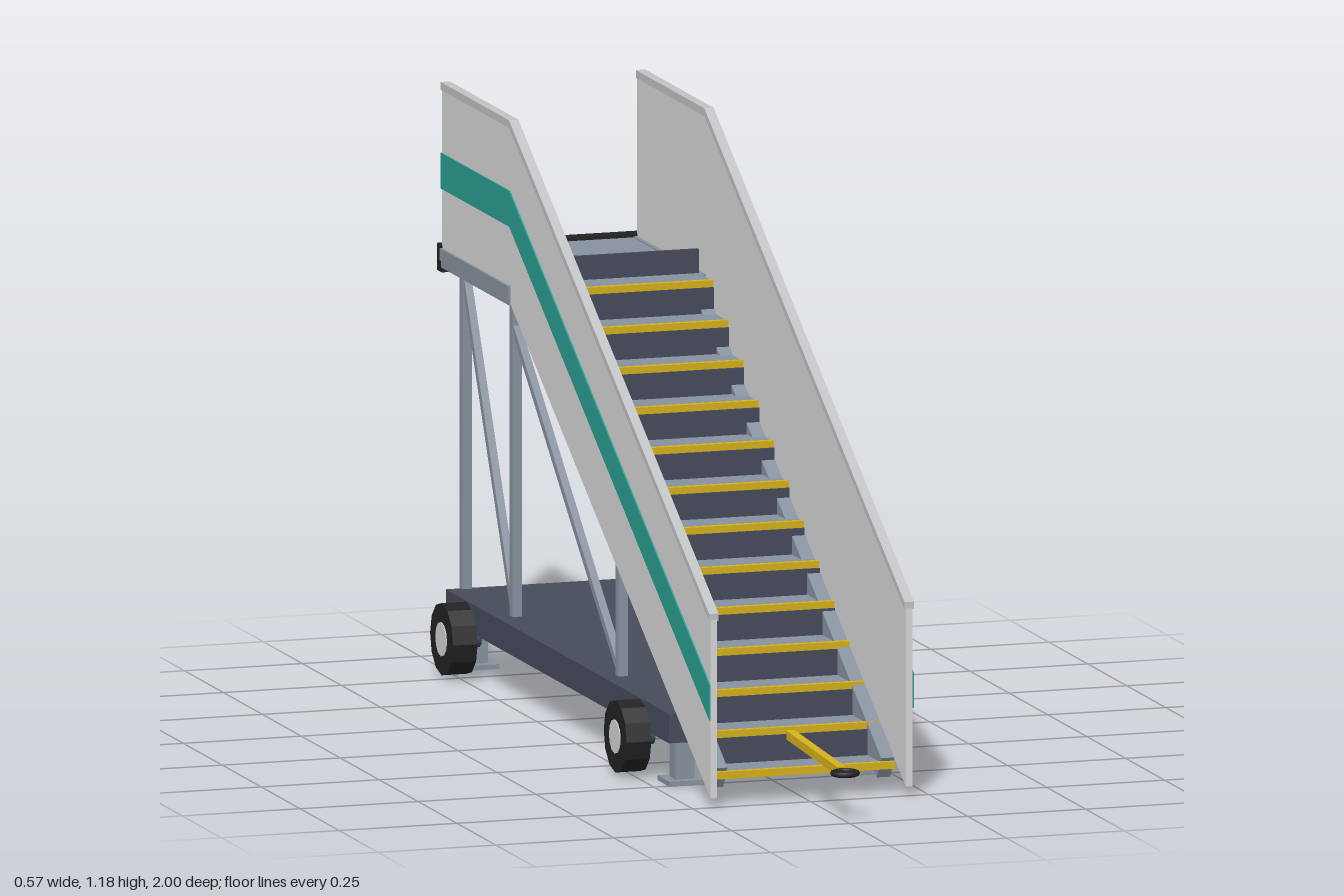
import * as THREE from 'three';

const mat = (name, color) => {
  const m = new THREE.MeshStandardMaterial({ color });
  m.name = name;
  return m;
};

export function createModel() {
  const M = {
    steel: mat('steel grey', 0x87919e),
    dark: mat('dark slate', 0x464b5a),
    panel: mat('panel white', 0xd6d6d6),
    rail: mat('rail grey', 0xbfc1c3),
    teal: mat('teal', 0x2a9d8f),
    yellow: mat('safety yellow', 0xd4b01c),
    rubber: mat('rubber black', 0x222222),
    hub: mat('hub light grey', 0xd2d2d2),
  };
  const model = new THREE.Group();
  model.name = 'boardingStairs';

  const add = (name, geo, material, x = 0, y = 0, z = 0) => {
    const mesh = new THREE.Mesh(geo, material);
    mesh.name = name;
    mesh.position.set(x, y, z);
    model.add(mesh);
    return mesh;
  };
  // Box given by its limits on each axis
  const box = (name, material, [x0, x1], [y0, y1], [z0, z1]) =>
    add(name, new THREE.BoxGeometry(x1 - x0, y1 - y0, z1 - z0), material,
      (x0 + x1) / 2, (y0 + y1) / 2, (z0 + z1) / 2);
  // Square bar between two [z, y] points at a given x
  const bar = (name, material, x, [z0, y0], [z1, y1], w, h) => {
    const len = Math.hypot(z1 - z0, y1 - y0);
    const mesh = add(name, new THREE.BoxGeometry(w, h, len), material, x, (y0 + y1) / 2, (z0 + z1) / 2);
    mesh.rotation.x = Math.atan2(y0 - y1, z1 - z0);
    return mesh;
  };
  // Sheet with a [z, y] outline, from x0 to x1
  const sheet = (name, material, points, x0, x1) => {
    const shape = new THREE.Shape(points.map(([z, y]) => new THREE.Vector2(z, y)));
    const geo = new THREE.ExtrudeGeometry(shape, { depth: x1 - x0, bevelEnabled: false });
    geo.rotateY(-Math.PI / 2).translate(x1, 0, 0);
    return add(name, geo, material);
  };
  // Band that follows the slope and the level top, given lower and upper heights
  const band = (name, material, low, high, x0, x1) => sheet(name, material, [
    [0.755, low[0]], [0.755, high[0]], [-0.53, high[1]], [-0.97, high[1]], [-0.97, low[1]], [-0.53, low[1]],
  ], x0, x1);
  // Sheet limits for either side
  const span = (s, a, b) => (s > 0 ? [a, b] : [-b, -a]);

  // Chassis
  box('chassis', M.dark, [-0.222, 0.222], [0.09, 0.15], [-0.92, 0.512]);

  // Upper platform, bumper and end riser
  box('platform', M.steel, [-0.2, 0.2], [0.805, 0.838], [-0.97, -0.535]);
  box('bumper', M.rubber, [-0.215, 0.215], [0.79, 0.845], [-1, -0.968]);

  // Steps with dark risers and yellow nosings
  const stepCount = 13, rise = 0.0648, going = 0.0972;
  for (let i = 0; i < stepCount; i++) {
    const y = 0.063 + rise * i, z = 0.715 - going * i;
    box('tread', M.steel, [-0.19, 0.19], [y - 0.012, y], [z - going, z - 0.012]);
    box('nosing', M.yellow, [-0.19, 0.19], [y - 0.013, y + 0.002], [z - 0.013, z]);
    const top = i === stepCount - 1 ? 0.89 : y + rise - 0.012;
    box('riser', M.dark, [-0.19, 0.19], [y, top], [z - going - 0.004, z - going + 0.004]);
  }

  for (const s of [-1, 1]) {
    // Side panel, stripe and top rail
    band('sidePanel', M.panel, [0.02, 0.803], [0.385, 1.168], ...span(s, 0.2, 0.214));
    band('stripe', M.teal, [0.18, 0.962], [0.253, 1.035], ...span(s, 0.214, 0.217));
    band('topRail', M.rail, [0.383, 1.164], [0.398, 1.18], ...span(s, 0.197, 0.217));
    box('platformEdge', M.steel, span(s, 0.19, 0.219), [0.815, 0.84], [-0.97, -0.53]);
    box('platformLip', M.steel, span(s, 0.19, 0.216), [0.8, 0.815], [-0.97, -0.53]);

    // Sloping stringer under the steps
    bar('stringer', M.steel, s * 0.177, [0.695, 0.05], [-0.53, 0.805], 0.028, 0.052);

    // Support frame
    const x = s * 0.18;
    for (const [z, top] of [[0.082, 0.42], [-0.6, 0.81], [-0.92, 0.81]])
      box('supportPost', M.steel, [x - 0.01, x + 0.01], [0.14, top], [z - 0.01, z + 0.01]);
    bar('brace', M.steel, x, [0.08, 0.16], [-0.6, 0.745], 0.016, 0.016);
    bar('brace', M.steel, x, [-0.6, 0.16], [-0.92, 0.795], 0.016, 0.016);

    // Wheels
    for (const z of [0.355, -0.76]) {
      const wheel = (name, material, r, w, cx, sides) => {
        const geo = new THREE.CylinderGeometry(r, r, w, sides).rotateZ(Math.PI / 2);
        return add(name, geo.toNonIndexed(), material, s * cx, 0.08, z);
      };
      wheel('tyre', M.rubber, 0.074, 0.052, 0.258, 12).geometry.computeVertexNormals();
      wheel('hub', M.hub, 0.035, 0.056, 0.258, 12);
      wheel('axle', M.dark, 0.02, 0.04, 0.225, 10);
    }

    // Stabiliser jacks
    for (const z of [0.468, -0.858]) {
      box('jackLeg', M.steel, [x - 0.02, x + 0.02], [0.005, 0.095], [z - 0.02, z + 0.02]);
      box('jackFoot', M.steel, [x - 0.039, x + 0.039], [0, 0.01], [z - 0.038, z + 0.038]);
    }
  }

  // Tow bar and ring
  bar('towBar', M.yellow, 0, [0.5, 0.12], [0.945, 0.098], 0.018, 0.018);
  const ring = new THREE.TorusGeometry(0.024, 0.006, 8, 20).rotateX(Math.PI / 2);
  add('towRing', ring, M.rubber, 0, 0.098, 0.97);

  return model;
}
